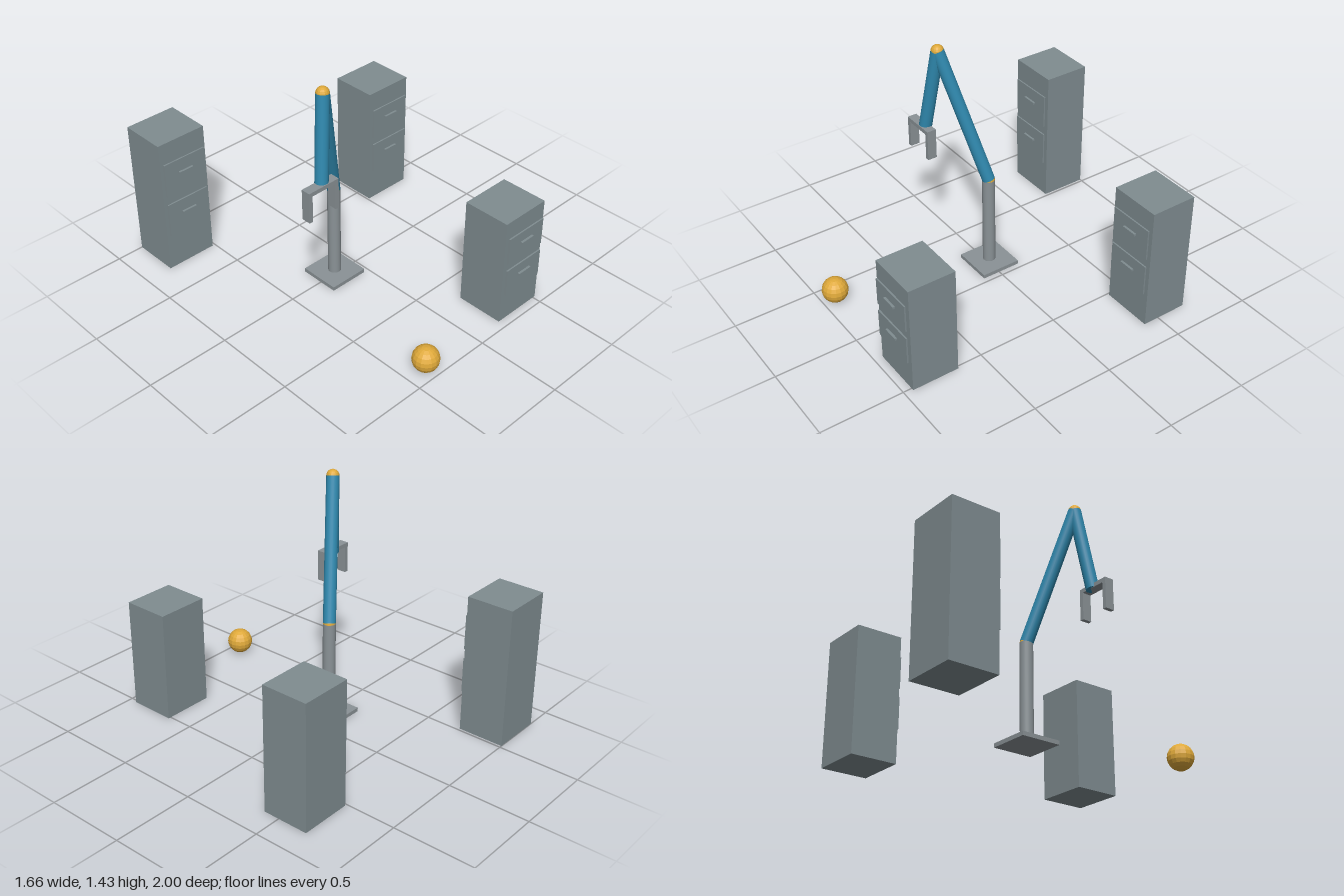
import * as THREE from 'three';

const cabinetGrey = new THREE.MeshStandardMaterial({ name: 'cabinetGrey', color: 0x7f8c90 });
const metalGrey = new THREE.MeshStandardMaterial({ name: 'metalGrey', color: 0x8a9296 });
const armBlue = new THREE.MeshStandardMaterial({ name: 'armBlue', color: 0x2e86ab });
const amber = new THREE.MeshStandardMaterial({ name: 'amber', color: 0xdfa93a });
amber.flatShading = true;

const R = 0.038; // shared radius of column, arm links and joints

function add(parent, name, geometry, material, x, y, z) {
  const mesh = new THREE.Mesh(geometry, material);
  mesh.name = name;
  mesh.position.set(x, y, z);
  parent.add(mesh);
  return mesh;
}

function box(parent, name, material, w, h, d, x, y, z) {
  return add(parent, name, new THREE.BoxGeometry(w, h, d), material, x, y, z);
}

// Straight cylindrical link between two points
function link(parent, name, material, from, to) {
  const dir = to.clone().sub(from);
  const mid = from.clone().add(to).multiplyScalar(0.5);
  const mesh = add(parent, name, new THREE.CylinderGeometry(R, R, dir.length(), 24), material, mid.x, mid.y, mid.z);
  mesh.quaternion.setFromUnitVectors(new THREE.Vector3(0, 1, 0), dir.normalize());
}

// Two-drawer cabinet; drawer sizes follow the cabinet height
function cabinet(name, x, z, height) {
  const group = new THREE.Group();
  group.name = name;
  group.position.set(x, 0, z);
  const depth = 0.287;
  const front = depth / 2;
  box(group, 'cabinetBody', cabinetGrey, 0.317, height, depth, 0, height / 2, 0);
  for (const level of [0.725, 0.405]) {
    const y = level * height;
    box(group, 'drawerFront', cabinetGrey, 0.281, 0.25 * height, 0.009, 0, y, front + 0.0125);
    box(group, 'drawerHandle', cabinetGrey, 0.096, 0.013, 0.014, 0, y + 0.025 * height, front + 0.024);
  }
  return group;
}

export function createModel() {
  const model = new THREE.Group();
  model.name = 'robotArmAndCabinets';

  // Cabinets
  model.add(cabinet('backRightCabinet', -0.675, -0.8565, 0.858));
  model.add(cabinet('backLeftCabinet', 0.671, -0.545, 0.768));
  model.add(cabinet('frontCabinet', 0.358, 0.804, 0.675));

  // Ball on the floor
  add(model, 'ball', new THREE.SphereGeometry(0.078, 16, 10), amber, -0.373, 0.078, 0.922);

  // Robot arm
  const robot = new THREE.Group();
  robot.name = 'robotArm';
  model.add(robot);
  const foot = new THREE.Vector3(-0.158, 0.024, -0.013);
  const shoulder = new THREE.Vector3(-0.158, 0.6, -0.013);
  const elbow = new THREE.Vector3(-0.389, 1.394, 0.162);
  const wrist = new THREE.Vector3(-0.459, 0.884, 0.218);
  box(robot, 'basePlate', metalGrey, 0.247, 0.024, 0.247, -0.157, 0.012, -0.014);
  link(robot, 'column', metalGrey, foot, shoulder);
  link(robot, 'upperArm', armBlue, shoulder, elbow);
  link(robot, 'forearm', armBlue, elbow, wrist);
  for (const [name, p] of [['shoulderJoint', shoulder], ['elbowJoint', elbow]]) {
    add(robot, name, new THREE.SphereGeometry(R, 16, 10), amber, p.x, p.y, p.z);
  }

  // Gripper: crossbar with two fingers hanging down
  const gripper = new THREE.Group();
  gripper.name = 'gripper';
  gripper.position.set(-0.477, 0, 0.229);
  robot.add(gripper);
  box(gripper, 'gripperBar', metalGrey, 0.21, 0.025, 0.057, 0, 0.895, 0);
  for (const side of [-1, 1]) {
    box(gripper, 'gripperFinger', metalGrey, 0.024, 0.163, 0.057, side * 0.093, 0.801, 0);
  }
  return model;
}
